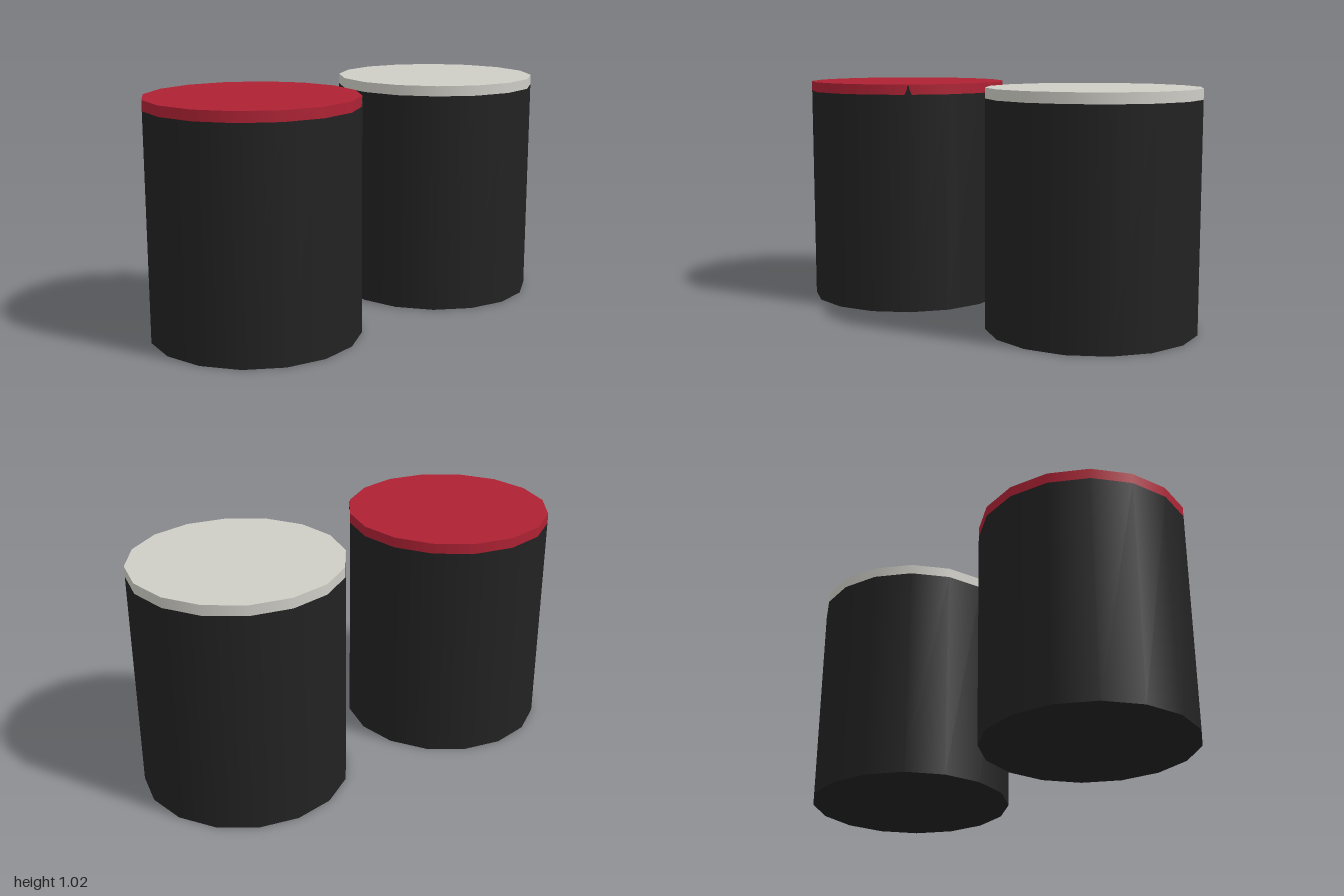
import * as THREE from 'three';

const R = 0.455, OFFSET = 0.545, BODY_H = 0.98, TOP = 1.025, SIDES = 16;

function mat(name, color) {
  const m = new THREE.MeshStandardMaterial({ color });
  m.name = name;
  return m;
}

function cylinder(name, y0, y1, material) {
  const mesh = new THREE.Mesh(new THREE.CylinderGeometry(R, R, y1 - y0, SIDES), material);
  mesh.position.y = (y0 + y1) / 2;
  mesh.name = name;
  return mesh;
}

// A dark drum with a thin coloured lid
function createDrum(name, x, bodyMat, lidMat) {
  const drum = new THREE.Group();
  drum.name = name;
  drum.position.x = x;
  drum.add(cylinder('body', 0, BODY_H, bodyMat), cylinder('lid', BODY_H, TOP, lidMat));
  return drum;
}

export function createModel() {
  const black = mat('black', 0x222222);
  const red = mat('red', 0xae2234);
  const grey = mat('lightGrey', 0xcdccc5);

  const model = new THREE.Group();
  model.name = 'drumPair';
  const rightDrum = createDrum('rightDrum', -OFFSET, black, red);
  model.add(rightDrum, createDrum('leftDrum', OFFSET, black, grey));

  // Small dark notch on the red rim, at the corner facing front and inward
  const shape = new THREE.Shape([
    [-0.016, 0], [0.016, 0], [0.006, 0.022], [0.004, 0.038], [-0.004, 0.038], [-0.006, 0.022],
  ].map(([x, y]) => new THREE.Vector2(x, y)));
  const notch = new THREE.Mesh(
    new THREE.ExtrudeGeometry(shape, { depth: 0.005, bevelEnabled: false }), black);
  notch.name = 'rimNotch';
  const a = Math.PI / 4, d = R - 0.003;
  notch.position.set(Math.sin(a) * d, BODY_H, Math.cos(a) * d);
  notch.rotation.y = a;
  rightDrum.add(notch);

  return model;
}
